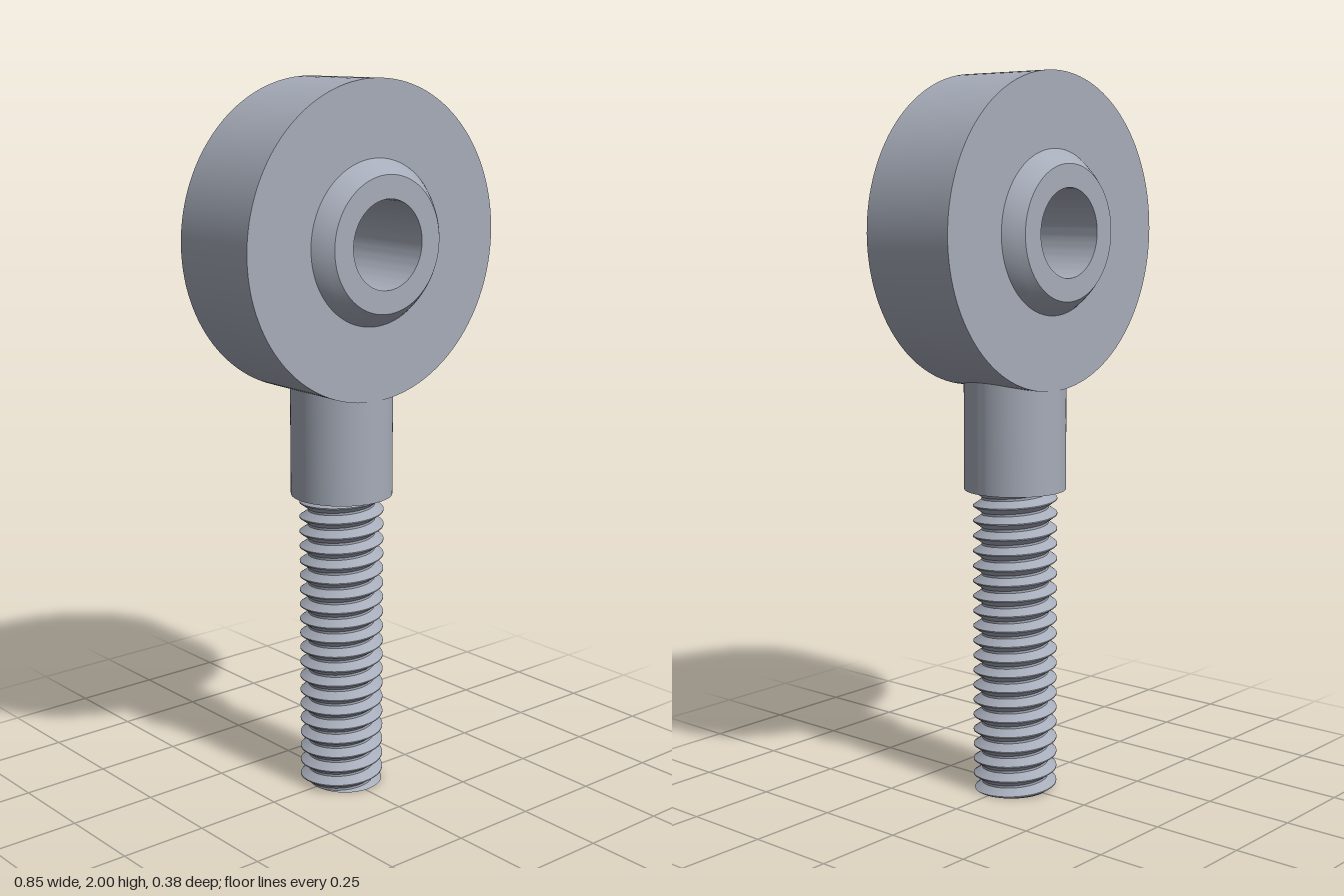
import * as THREE from 'three';
import { toCreasedNormals } from 'three/addons/utils/BufferGeometryUtils.js';

const EYE_Y = 1.573;      // height of the eye centre
const HALF_W = 0.142;     // half width of the housing, also the shank radius
const BALL_R = 0.2638;
const THREAD_TOP = 0.862;

// Solid of revolution with crisp edges; profile points are [radius, height]
function turned(points, segments = 96) {
  const geo = new THREE.LatheGeometry(points.map(([r, y]) => new THREE.Vector2(r, y)), segments);
  return toCreasedNormals(geo, 0.5);
}

// Right-handed screw thread: rows of vertices follow the helix and are cut at both ends
function threadGeometry(height, pitch, crest, root, segments = 64) {
  const turns = Math.round(height / pitch);
  const steps = [0, 0.07, 0.46, 0.61]; // crest flat, flank, root flat, flank
  const radiusAt = (phase) => {
    const p = phase - Math.floor(phase);
    if (p < 0.07) return crest;
    if (p < 0.46) return crest + (root - crest) * (p - 0.07) / 0.39;
    if (p < 0.61) return root;
    return root + (crest - root) * (p - 0.61) / 0.39;
  };
  const positions = [], index = [];
  const addVertex = (y, turn) => {
    const r = radiusAt(y / pitch - turn + 1e-7);
    const a = turn * Math.PI * 2;
    positions.push(r * Math.cos(a), y, -r * Math.sin(a));
  };
  let rows = 0;
  for (let k = -1; k <= turns; k++) {
    for (const s of steps) {
      for (let i = 0; i <= segments; i++) {
        const turn = i / segments;
        addVertex(THREE.MathUtils.clamp((k + s + turn) * pitch, 0, height), turn);
      }
      rows++;
    }
  }
  const w = segments + 1;
  for (let j = 0; j < rows - 1; j++) {
    for (let i = 0; i < segments; i++) {
      const a = j * w + i, b = a + 1, c = a + w, d = c + 1;
      index.push(a, b, d, a, d, c);
    }
  }
  // Flat end face at the tip
  const centre = positions.length / 3;
  positions.push(0, 0, 0);
  for (let i = 0; i <= segments; i++) addVertex(0, i / segments);
  for (let i = 0; i < segments; i++) index.push(centre, centre + 2 + i, centre + 1 + i);

  const geo = new THREE.BufferGeometry();
  geo.setAttribute('position', new THREE.Float32BufferAttribute(positions, 3));
  geo.setIndex(index);
  return toCreasedNormals(geo, 0.5);
}

export function createModel() {
  const group = new THREE.Group();
  group.name = 'rodEnd';
  const steel = new THREE.MeshStandardMaterial({ color: 0xa6acb9 });
  steel.name = 'steel';

  const add = (name, geometry) => {
    const mesh = new THREE.Mesh(geometry, steel);
    mesh.name = name;
    group.add(mesh);
    return mesh;
  };

  // Ring housing around the ball
  const inner = 0.2223, outer = 0.427;
  const housing = add('housing', turned([
    [outer, -HALF_W], [outer, HALF_W], [inner, HALF_W], [inner, -HALF_W], [outer, -HALF_W],
  ], 128));

  // Truncated ball with a through bore
  const ballHalf = 0.19, bore = 0.12;
  const profile = [];
  for (let i = 0; i <= 24; i++) {
    const z = -ballHalf + (2 * ballHalf * i) / 24;
    profile.push([Math.sqrt(BALL_R * BALL_R - z * z), z]);
  }
  profile.push([bore, ballHalf], [bore, -ballHalf], profile[0]);
  const ball = add('ball', turned(profile));

  for (const part of [housing, ball]) {
    part.rotation.x = Math.PI / 2;
    part.position.y = EYE_Y;
  }

  // Plain shank running into the housing
  add('shank', turned([[0, THREAD_TOP], [HALF_W, THREAD_TOP], [HALF_W, 1.2], [0, 1.2]]));

  // Threaded stud
  add('threadedStud', threadGeometry(THREAD_TOP, THREAD_TOP / 20, 0.118, 0.094));

  return group;
}
